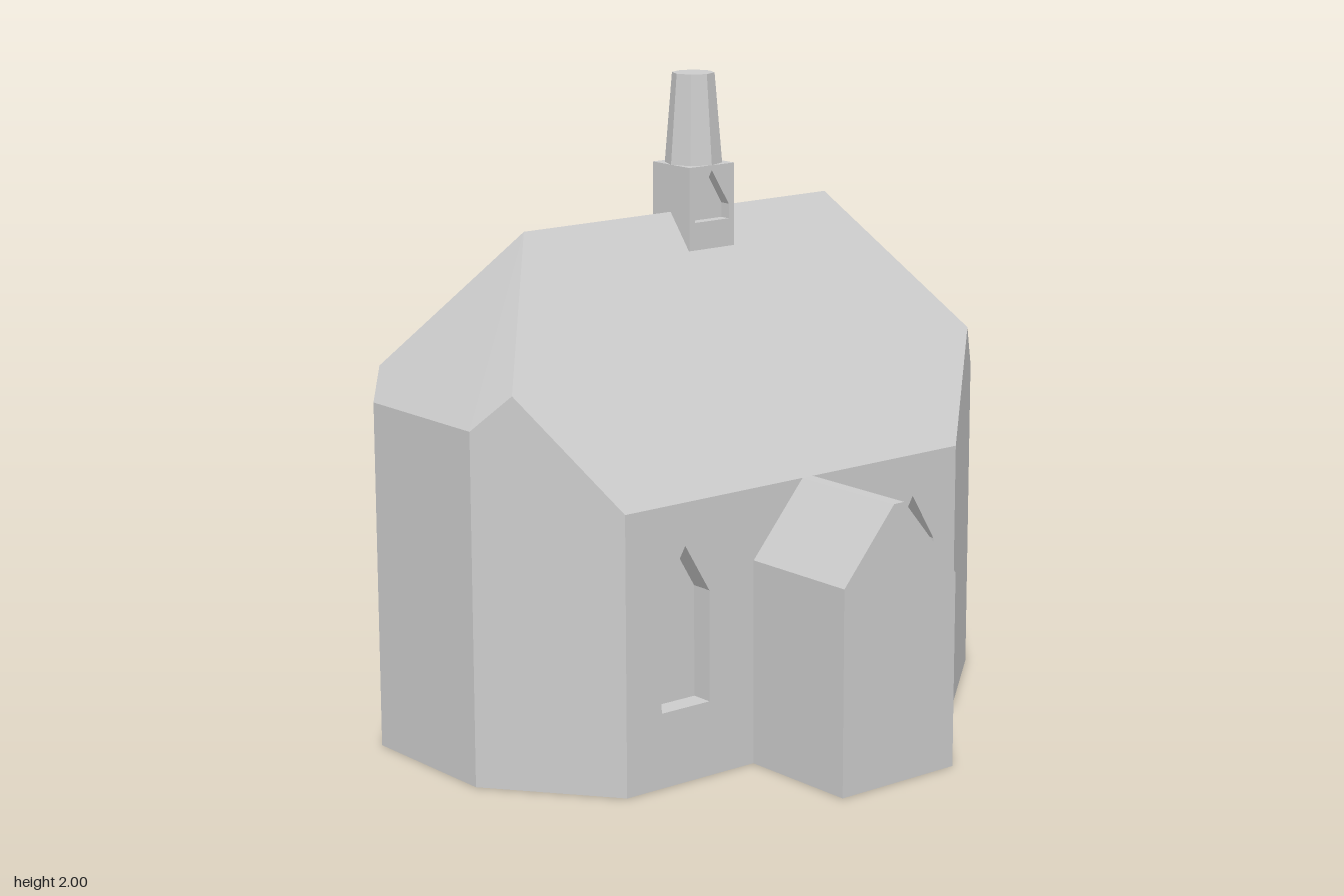
import * as THREE from 'three';
import { mergeGeometries } from 'three/addons/utils/BufferGeometryUtils.js';

const stone = new THREE.MeshStandardMaterial({ color: 0xcccccc });
stone.name = 'pale stone';

// flat polygons (corners counter-clockwise from outside), fan triangulated
function faces(polys) {
  const pos = [];
  for (const p of polys)
    for (let i = 1; i < p.length - 1; i++) pos.push(...p[0], ...p[i], ...p[i + 1]);
  const g = new THREE.BufferGeometry();
  g.setAttribute('position', new THREE.Float32BufferAttribute(pos, 3));
  g.computeVertexNormals();
  return g;
}

// pointed opening: centre, half width, sill, shoulder and apex heights
const arch = (u, w, sill, shoulder, apex) =>
  [[u - w, sill], [u + w, sill], [u + w, shoulder], [u, apex], [u - w, shoulder]];

// upright panel over the plan line a-b, with recessed openings
function panel(a, b, outline, openings = [], depth = 0.07) {
  const shape = new THREE.Shape(outline.map(p => new THREE.Vector2(...p)));
  const recess = [];
  for (const o of openings) {
    shape.holes.push(new THREE.Path(o.map(p => new THREE.Vector2(...p))));
    recess.push(o.map(([x, y]) => [x, y, -depth]));
    o.forEach(([x, y], i) => {
      const [x2, y2] = o[(i + 1) % o.length];
      recess.push([[x, y, 0], [x2, y2, 0], [x2, y2, -depth], [x, y, -depth]]);
    });
  }
  const parts = [new THREE.ShapeGeometry(shape).toNonIndexed()];
  parts[0].deleteAttribute('uv');
  if (recess.length) parts.push(faces(recess));
  const g = mergeGeometries(parts);
  const u = new THREE.Vector3(b[0] - a[0], 0, b[1] - a[1]).normalize();
  const up = new THREE.Vector3(0, 1, 0);
  const m = new THREE.Matrix4().makeBasis(u, up, u.clone().cross(up));
  return g.applyMatrix4(m.setPosition(a[0], 0, a[1]));
}

export function createModel() {
  const group = new THREE.Group();
  const add = (name, geometry) => {
    const mesh = new THREE.Mesh(geometry, stone);
    mesh.name = name;
    group.add(mesh);
    return mesh;
  };

  // plan corners as [x, z, eave height], starting at the front wall
  const plan = [
    [-0.70, 0.39, 0.85], [0.60, 0.39, 0.85], [0.98, 0.06, 1.0], [0.98, -0.45, 1.0],
    [0.64, -0.79, 0.82], [-0.70, -0.74, 0.87], [-0.98, -0.46, 1.07], [-0.98, 0.03, 1.07],
  ];
  // gable peaks on the four corner walls, [fraction along wall, height]
  const peaks = { 1: [0.71, 1.152], 3: [0.29, 1.135], 5: [0.74, 1.16], 7: [0.28, 1.18] };
  const names = ['frontWall', 'frontLeftWall', 'leftWall', 'backLeftWall',
    'backWall', 'backRightWall', 'rightWall', 'frontRightWall'];
  const windows = us => us.map(u => arch(u, 0.09, 0.23, 0.57, 0.72));
  const openings = { 0: windows([0.22, 1.12]), 4: windows([0.22, 0.67, 1.12]) };

  // walls
  const peak = {};
  plan.forEach((a, i) => {
    const b = plan[(i + 1) % 8];
    const len = Math.hypot(b[0] - a[0], b[1] - a[1]);
    const outline = [[0, 0], [len, 0], [len, b[2]]];
    if (peaks[i]) {
      const [t, y] = peaks[i];
      outline.push([t * len, y]);
      peak[i] = [a[0] + (b[0] - a[0]) * t, y, a[1] + (b[1] - a[1]) * t];
    }
    outline.push([0, a[2]]);
    add(names[i], panel(a, b, outline, openings[i]));
  });

  // roof: two long slopes and two hipped ends
  const eave = i => [plan[i][0], plan[i][2], plan[i][1]];
  const ridgeR = [-0.62, 1.58, -0.185], ridgeL = [0.56, 1.58, -0.185];
  add('roof', faces([
    [ridgeR, peak[7], eave(0), eave(1), peak[1], ridgeL],
    [ridgeL, peak[3], eave(4), eave(5), peak[5], ridgeR],
    [ridgeL, peak[1], eave(2), eave(3), peak[3]],
    [ridgeR, peak[5], eave(6), eave(7), peak[7]],
  ]));
  add('floor', faces([plan.map(p => [p[0], 0, p[1]]).reverse()]));

  // porch with a narrow flat ridge
  const porchShape = new THREE.Shape([[-0.22, 0], [0.22, 0], [0.22, 0.6], [0.01, 0.85],
    [-0.03, 0.85], [-0.22, 0.63]].map(p => new THREE.Vector2(...p)));
  const porch = new THREE.ExtrudeGeometry(porchShape, { depth: 0.41, bevelEnabled: false });
  add('porch', porch.translate(0, 0, 0.38));

  // bell turret with niches front and back
  const cx = 0.022, cz = -0.182, h = 0.088, y0 = 1.47, y1 = 1.725;
  const c = [[cx - h, cz + h], [cx + h, cz + h], [cx + h, cz - h], [cx - h, cz - h]];
  const side = [[0, y0], [2 * h, y0], [2 * h, y1], [0, y1]];
  const turret = c.map((a, i) => panel(a, c[(i + 1) % 4], side,
    i % 2 ? [] : [arch(h, 0.067, 1.555, 1.6, 1.71)], 0.035));
  turret.push(faces([c.map(p => [p[0], y1, p[1]]), c.map(p => [p[0], y0, p[1]]).reverse()]));
  add('turret', mergeGeometries(turret));

  // eight-sided cut-off spire
  const spire = new THREE.CylinderGeometry(0.065, h, 2 - y1, 8).toNonIndexed();
  spire.computeVertexNormals();
  add('spire', spire).position.set(cx, (2 + y1) / 2, cz);

  return group;
}
